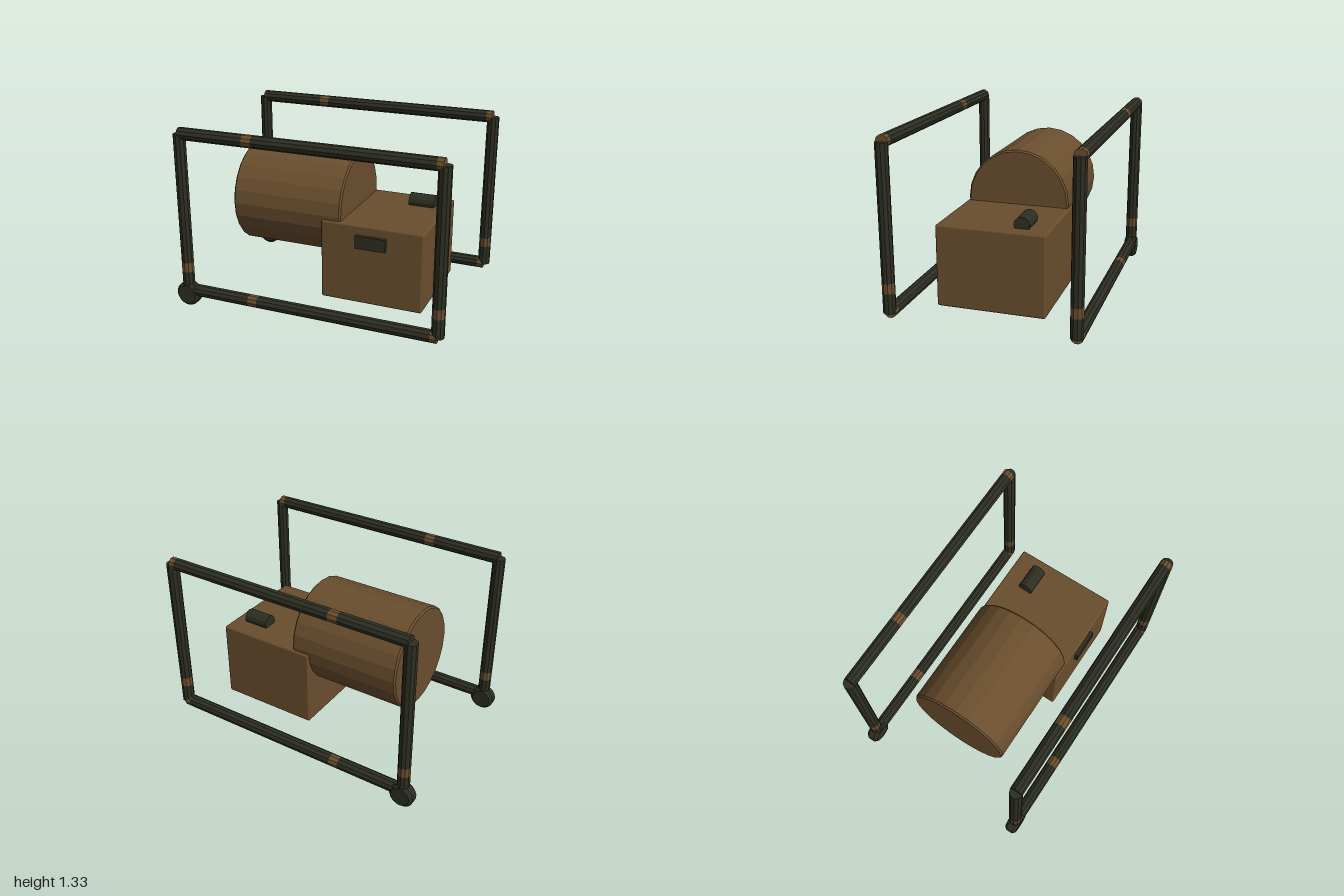
import * as THREE from 'three';
import { RoundedBoxGeometry } from 'three/addons/geometries/RoundedBoxGeometry.js';

export function createModel() {
  const model = new THREE.Group();
  model.name = 'framedGenerator';
  const brown = new THREE.MeshStandardMaterial({ color: 0x6a4e2e });
  brown.name = 'rusty brown';
  const dark = new THREE.MeshStandardMaterial({ color: 0x2d2e22 });
  dark.name = 'dark olive';

  const flat = (geometry) => {
    const g = geometry.toNonIndexed();
    g.computeVertexNormals();
    return g;
  };
  const add = (parent, name, geometry, material, x, y, z) => {
    const mesh = new THREE.Mesh(geometry, material);
    mesh.name = name;
    mesh.position.set(x, y, z);
    parent.add(mesh);
    return mesh;
  };

  // Solid drum with a small chamfer on both rims, axis along y
  const drum = (r, length, bevel, sides) => {
    const h = length / 2;
    const profile = [[0, -h], [r - bevel, -h], [r, -h + bevel], [r, h - bevel], [r - bevel, h], [0, h]];
    return flat(new THREE.LatheGeometry(profile.map(([a, b]) => new THREE.Vector2(a, b)), sides));
  };

  // Straight frame tube from a to b, split into dark lengths and brown bands
  const TUBE_R = 0.0445;
  const tube = (parent, name, horizontal, offset, a, b, bands) => {
    const group = new THREE.Group();
    group.name = name;
    parent.add(group);
    const piece = (from, to, label, material) => {
      const open = from > a && to < b;
      const g = flat(new THREE.CylinderGeometry(TUBE_R, TUBE_R, to - from, 10, 1, open));
      if (horizontal) g.rotateZ(-Math.PI / 2);
      const mid = (from + to) / 2;
      add(group, label, g, material, horizontal ? mid : offset, horizontal ? offset : mid, 0);
    };
    let at = a;
    for (const [from, to] of bands) {
      piece(at, from, 'tubeLength', dark);
      piece(from, to, 'tubeBand', brown);
      at = to;
    }
    if (at < b) piece(at, b, 'tubeLength', dark);
  };

  // Two side frames, each with a wheel at one lower corner
  for (const side of [1, -1]) {
    const frame = new THREE.Group();
    frame.name = side > 0 ? 'frontFrame' : 'backFrame';
    frame.position.z = side * 0.642;
    model.add(frame);
    tube(frame, 'topRail', true, 1.285, -0.91, 0.955, [[-0.415, -0.345], [0.912, 0.955]]);
    tube(frame, 'bottomRail', true, 0.12, -0.91, 0.955, [[-0.415, -0.345], [0.912, 0.955]]);
    tube(frame, 'wheelPost', false, -0.912, 0.09, 1.283, [[0.265, 0.335]]);
    tube(frame, 'plainPost', false, 0.957, 0.12, 1.283, [[0.265, 0.335]]);
    const wheel = add(frame, 'wheel', drum(0.09, 0.09, 0.02, 18), dark, -0.91, 0.09, 0);
    wheel.rotation.x = Math.PI / 2;
  }

  // Fuel tank lying along x
  const tank = drum(0.37, 0.83, 0.012, 24);
  tank.rotateZ(-Math.PI / 2);
  add(model, 'tank', tank, brown, -0.255, 0.725, 0);

  // Engine housing with its front plate and top handle
  add(model, 'housing', new RoundedBoxGeometry(0.743, 0.58, 0.764, 2, 0.015), brown, 0.393, 0.41, 0);
  add(model, 'frontPlate', new THREE.BoxGeometry(0.222, 0.093, 0.04), dark, 0.392, 0.585, 0.387);
  const handle = flat(new THREE.CylinderGeometry(0.056, 0.056, 0.187, 12));
  handle.rotateZ(-Math.PI / 2);
  add(model, 'topHandle', handle, dark, 0.581, 0.725, -0.192);

  return model;
}
